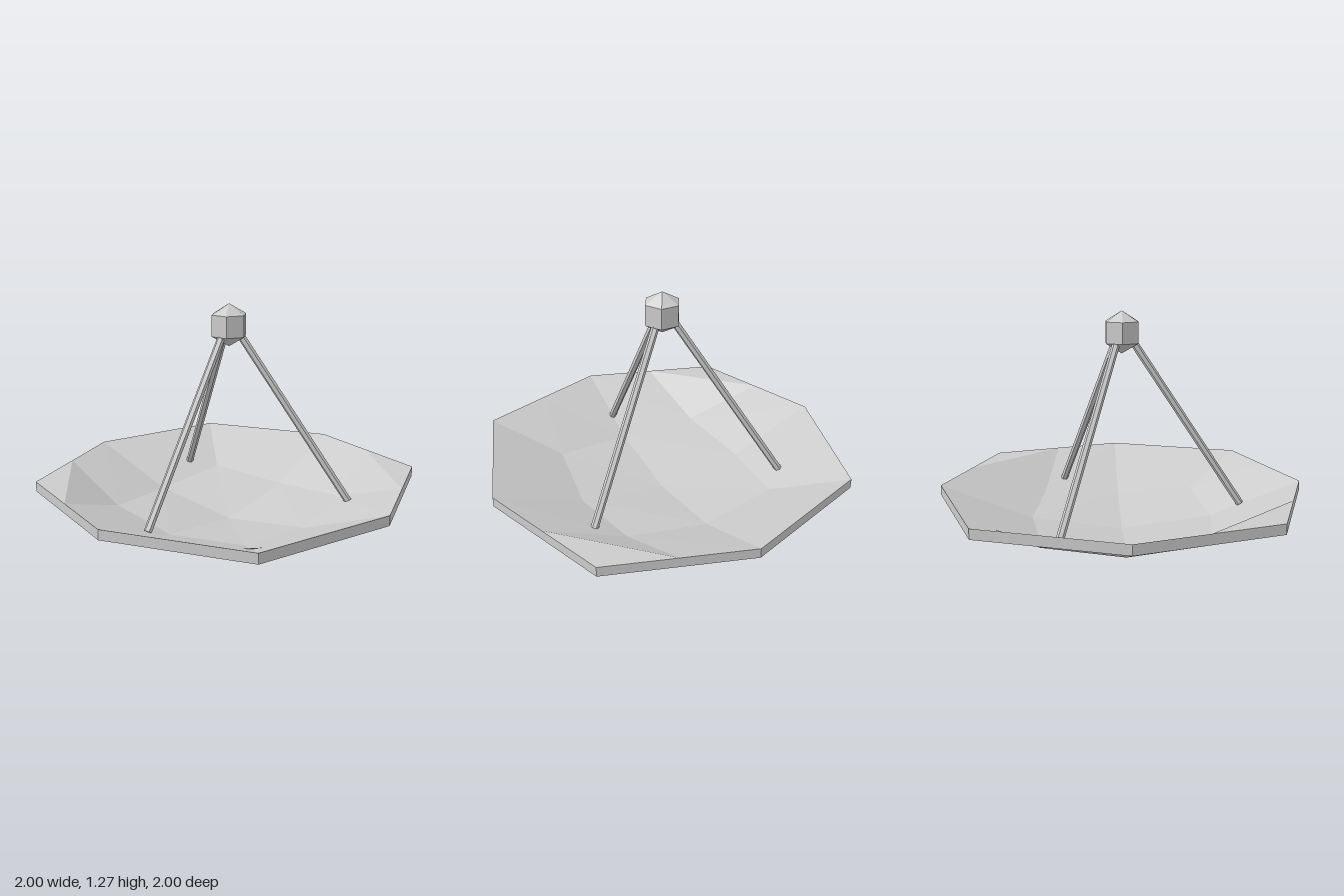
import * as THREE from 'three';

const material = new THREE.MeshStandardMaterial({ color: 0xcccccc, flatShading: true });

function addMesh(parent, name, geometry) {
  const mesh = new THREE.Mesh(geometry, material);
  mesh.name = name;
  parent.add(mesh);
  return mesh;
}

// Dish: a 4 x 4 slab whose square rings are bent into octagons and sunk into a bowl
function dishGeometry() {
  const thickness = 0.055;
  const geometry = new THREE.BoxGeometry(2, thickness, 2, 4, 1, 4);
  const pos = geometry.attributes.position;
  for (let i = 0; i < pos.count; i++) {
    const x = pos.getX(i), z = pos.getZ(i);
    const ring = Math.max(Math.abs(x), Math.abs(z)); // 0, 0.5 or 1
    const corner = ring > 0 ? Math.min(Math.abs(x), Math.abs(z)) / ring : 0;
    const rim = ring > 0.75;
    const long = rim ? 1 - 0.25 * corner : ring - 0.06 * corner;
    const short = (rim ? 0.75 : 0.44) * corner;
    const xIsLong = Math.abs(x) >= Math.abs(z);
    const depth = rim ? 0.265 : ring > 0 ? 0.07 + 0.038 * corner : 0;
    pos.setXYZ(
      i,
      Math.sign(x) * (xIsLong ? long : short),
      depth + (pos.getY(i) > 0 ? thickness : 0),
      Math.sign(z) * (xIsLong ? short : long)
    );
  }
  geometry.computeVertexNormals();
  return geometry;
}

// Six-sided rod between two points, one edge turned to the top
function strutGeometry(foot, head, radius) {
  const dir = head.clone().sub(foot);
  const geometry = new THREE.CylinderGeometry(radius, radius, dir.length(), 6);
  geometry.rotateY(Math.PI / 2);
  geometry.rotateZ(-Math.atan2(dir.x, dir.y));
  const mid = foot.clone().add(head).multiplyScalar(0.5);
  geometry.translate(mid.x, mid.y, mid.z);
  return geometry;
}

export function createModel() {
  const model = new THREE.Group();
  model.name = 'dishAntenna';

  addMesh(model, 'dish', dishGeometry());

  // Three struts, one to the model's right and two on its left
  const strut = strutGeometry(
    new THREE.Vector3(-0.665, 0.195, 0),
    new THREE.Vector3(-0.03, 1.155, 0),
    0.021
  );
  for (let i = 0; i < 3; i++) {
    addMesh(model, 'strut' + (i + 1), strut).rotation.y = (i * Math.PI * 2) / 3;
  }

  // Receiver held over the bowl
  const receiver = addMesh(model, 'receiver', new THREE.SphereGeometry(0.115, 6, 3));
  receiver.position.y = 1.16;
  receiver.rotation.y = Math.PI / 2;

  return model;
}
